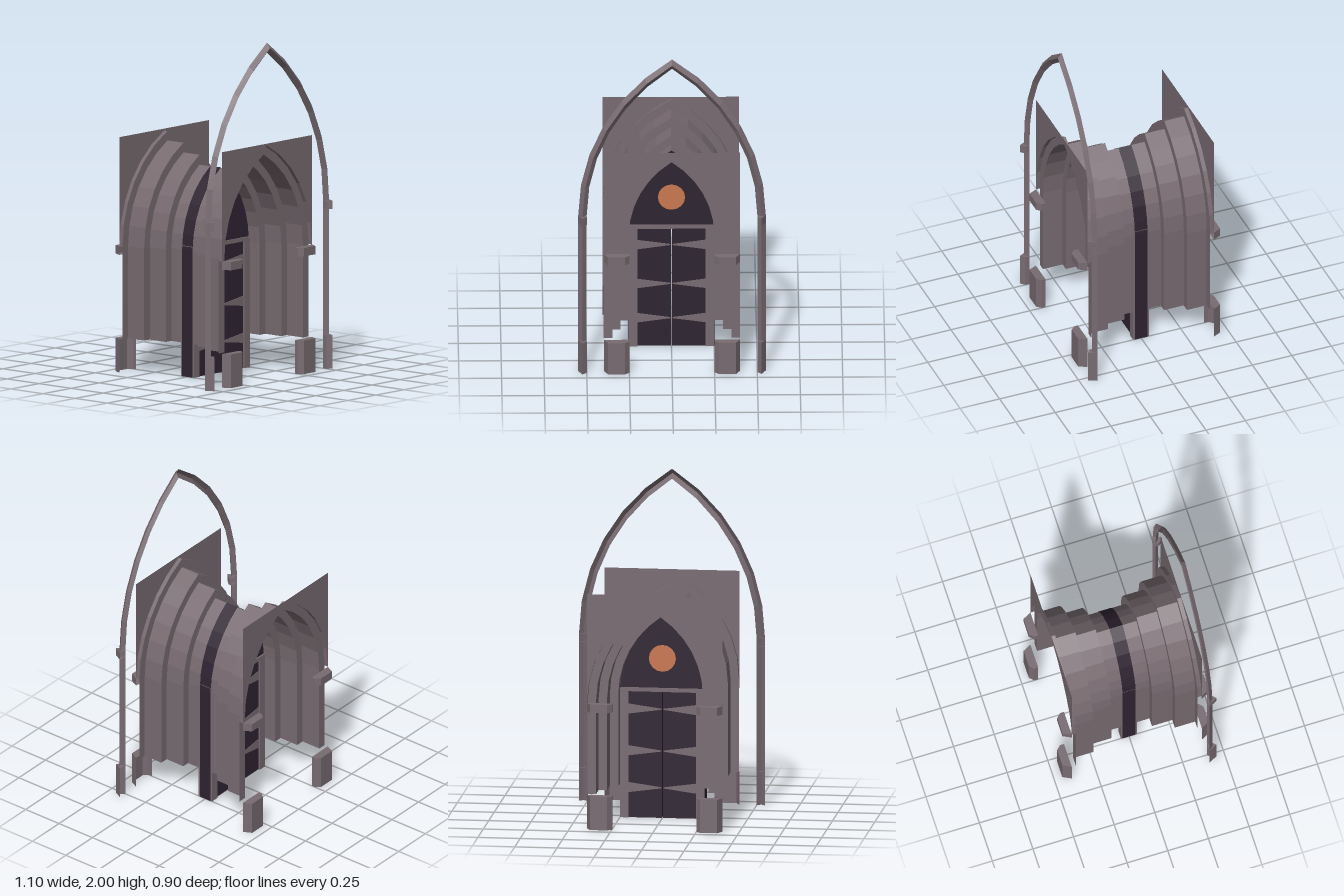
import * as THREE from 'three';

const mat = (name, color) => {
  const m = new THREE.MeshStandardMaterial({ color, side: THREE.DoubleSide });
  m.name = name;
  return m;
};

// Pointed arch outline: right foot, over the apex, to the left foot.
// c is how far the arc centres lie past the middle.
function archPoints(w, c, spring, base, n = 6) {
  const r = w + c, total = Math.acos(c / r);
  const half = [[w, base]];
  for (let i = base < spring ? 0 : 1; i <= n; i++) {
    const a = (total * i) / n;
    half.push([r * Math.cos(a) - c, spring + r * Math.sin(a)]);
  }
  half[half.length - 1][0] = 0;
  const mirrored = half.slice(0, -1).reverse().map(([x, y]) => [-x, y]);
  return half.concat(mirrored);
}

// Faceted surface through rows of 3D points
function loft(rows) {
  const pos = [];
  for (let i = 0; i < rows.length - 1; i++) {
    for (let j = 0; j < rows[i].length - 1; j++) {
      const a = rows[i][j], b = rows[i][j + 1], c = rows[i + 1][j + 1], d = rows[i + 1][j];
      pos.push(...a, ...b, ...c, ...a, ...c, ...d);
    }
  }
  const g = new THREE.BufferGeometry();
  g.setAttribute('position', new THREE.Float32BufferAttribute(pos, 3));
  g.computeVertexNormals();
  return g;
}

// Sweep a section of [halfWidth, z] pairs around a pointed arch
const archSweep = (section, c, spring, base) =>
  loft(section.map(([w, z]) => archPoints(w, c, spring, base).map(([x, y]) => [x, y, z])));

export function createModel() {
  const model = new THREE.Group();
  model.name = 'gothicDoorway';
  const stone = mat('stone', 0x786b71);
  const wood = mat('darkWood', 0x2e2331);
  const glass = mat('amberGlass', 0xc97850);

  const add = (name, geo, material, parent = model) => {
    const m = new THREE.Mesh(geo, material);
    m.name = name;
    parent.add(m);
    return m;
  };
  const box = (name, x0, x1, y0, y1, depth, material) => {
    const g = new THREE.BoxGeometry(x1 - x0, y1 - y0, depth);
    g.translate((x0 + x1) / 2, (y0 + y1) / 2, 0);
    return add(name, g, material);
  };

  // Upright block from a plan of [x, z] points, open at the back
  const block = (name, plan, y0, y1, capBottom) => {
    const group = new THREE.Group();
    group.name = name;
    add(name + 'Sides', loft([y1, y0].map((y) => plan.map(([x, z]) => [x, y, z]))), stone, group);
    const shape = new THREE.Shape(plan.map(([x, z]) => new THREE.Vector2(x, -z)));
    for (const y of capBottom ? [y0, y1] : [y1]) {
      const cap = new THREE.ShapeGeometry(shape);
      cap.rotateX(-Math.PI / 2);
      cap.translate(0, y, 0);
      add(name + 'Cap', cap, stone, group);
    }
    return group;
  };

  const C = 0.31, SPRING = 0.75;

  // Stepped reveals, front and back in one section
  const steps = [[0.25, 0], [0.25, 0.125], [0.3, 0.125], [0.3, 0.25], [0.35, 0.25], [0.35, 0.375], [0.4, 0.375]];
  const back = steps.slice(1).reverse().map(([w, z]) => [w, -z]);
  add('steppedReveal', archSweep([...back, ...steps.slice(1)], C, SPRING, 0.2), stone);

  // Each face: outer arch edge, wall panel, plinths and capitals
  const plan = [[0.4, 0.4], [0.375, 0.45], [0.275, 0.45], [0.25, 0.425], [0.25, 0.4]];
  for (const s of [1, -1]) {
    const side = s > 0 ? 'front' : 'back';
    add(side + 'ArchEdge', archSweep([[0.4, 0.375 * s], [0.4, 0.4 * s]], C, SPRING, SPRING), stone);

    const panel = new THREE.Shape();
    panel.moveTo(-0.4, SPRING);
    panel.lineTo(-0.4, 1.4);
    panel.lineTo(0.4, 1.4);
    for (const [x, y] of archPoints(0.4, C, SPRING, SPRING).slice(0, -1)) panel.lineTo(x, y);
    const panelGeo = new THREE.ShapeGeometry(panel);
    if (s < 0) panelGeo.rotateY(Math.PI);
    panelGeo.translate(0, 0, 0.4 * s);
    add(side + 'WallPanel', panelGeo, stone);

    for (const m of [1, -1]) {
      const p = plan.map(([x, z]) => [x * m, z * s]);
      model.add(block(side + 'Plinth', p, 0, 0.2, false));
      model.add(block(side + 'Capital', p, 0.7, 0.75, true));
    }
  }

  // Tall outer hood arch with its bases and capitals
  add('hoodArch', archSweep([[0.5, 0.4], [0.525, 0.425], [0.55, 0.4]], 0.635, 1, 0), stone);
  for (const m of [1, -1]) {
    const p = [[0.55, 0.4], [0.525, 0.45], [0.5, 0.425], [0.5, 0.4]].map(([x, z]) => [x * m, z]);
    model.add(block('hoodBase', p, 0, 0.2, false));
    model.add(block('hoodCapital', p, 0.95, 1, true));
  }

  // Tympanum with a round window
  const tymp = new THREE.Shape(archPoints(0.252, C, SPRING, SPRING).map(([x, y]) => new THREE.Vector2(x, y)));
  const tympGeo = new THREE.ExtrudeGeometry(tymp, { depth: 0.08, bevelEnabled: false });
  tympGeo.translate(0, 0, -0.04);
  add('tympanum', tympGeo, wood);
  const rose = new THREE.CylinderGeometry(0.08, 0.08, 0.09, 16);
  rose.rotateX(Math.PI / 2);
  rose.translate(0, 0.955, 0);
  add('roundWindow', rose, glass);

  // Door frame, leaves and tapering strap hinges
  box('lintel', -0.25, 0.25, 0.755, 0.778, 0.1, stone);
  for (const m of [1, -1]) {
    const span = (a, b) => (m > 0 ? [a, b] : [-b, -a]);
    box('doorJamb', ...span(0.2, 0.25), 0, 0.755, 0.1, stone);
    box('doorLeaf', ...span(0.004, 0.252), 0, 0.755, 0.08, wood);
    for (const y of [0.18, 0.4, 0.65]) {
      const strap = new THREE.Shape([[0.2, -0.03], [0.2, 0.03], [0.006, 0.003], [0.006, -0.003]]
        .map(([x, dy]) => new THREE.Vector2(x * m, y + dy)));
      const g = new THREE.ExtrudeGeometry(strap, { depth: 0.086, bevelEnabled: false });
      g.translate(0, 0, -0.043);
      add('strapHinge', g, stone);
    }
  }
  return model;
}
